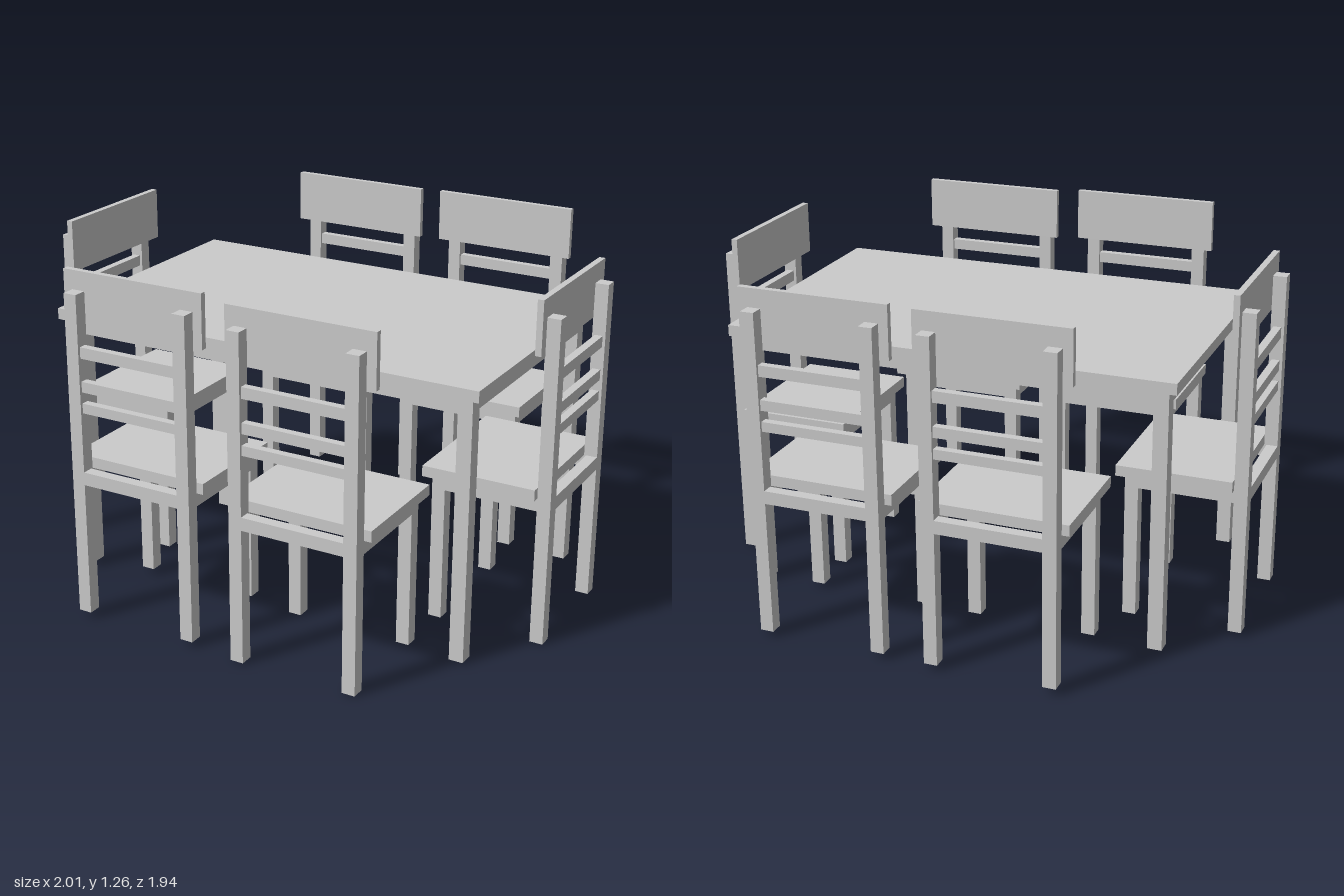
import * as THREE from 'three';

const material = new THREE.MeshStandardMaterial({ color: 0xcccccc, flatShading: true });

// Box given by its min and max on each axis
function box(parent, name, [x0, x1], [y0, y1], [z0, z1]) {
  const mesh = new THREE.Mesh(new THREE.BoxGeometry(x1 - x0, y1 - y0, z1 - z0), material);
  mesh.name = name;
  mesh.position.set((x0 + x1) / 2, (y0 + y1) / 2, (z0 + z1) / 2);
  parent.add(mesh);
}

// Range mirrored to one side
const side = (s, a, b) => (s > 0 ? [a, b] : [-b, -a]);

// Chair: outer face of the back posts at z = 0, facing +z
function createChair() {
  const chair = new THREE.Group();
  const half = 0.236, w = 0.048, depth = 0.433;
  const inner = half - w;
  for (const s of [-1, 1]) {
    box(chair, 'backPost', side(s, inner, half), [0, 1.168], [0, w]);
    box(chair, 'frontLeg', side(s, inner, half), [0, 0.537], [depth - w, depth]);
    box(chair, 'sideApron', side(s, half - 0.04, half), [0.49, 0.537], [w, depth - w]);
  }
  box(chair, 'rearApron', [-inner, inner], [0.49, 0.537], [0, 0.04]);
  box(chair, 'frontApron', [-inner, inner], [0.49, 0.537], [depth - 0.04, depth]);
  box(chair, 'seat', [-0.262, 0.262], [0.537, 0.576], [w, 0.46]);
  // Back: three slats between the posts, wide panel on their inner face
  for (const [y0, y1] of [[0.75, 0.785], [0.825, 0.863], [0.945, 0.985]]) {
    box(chair, 'backSlat', [-inner, inner], [y0, y1], [0.01, 0.038]);
  }
  box(chair, 'backPanel', [-0.27, 0.27], [1.045, 1.235], [w, 0.07]);
  return chair;
}

function createTable() {
  const table = new THREE.Group();
  table.name = 'table';
  const hx = 0.815, hz = 0.508, inset = 0.035, w = 0.052;
  const lx = hx - inset, lz = hz - inset;
  box(table, 'tableTop', [-hx, hx], [0.95, 0.99], [-hz, hz]);
  for (const s of [-1, 1]) {
    for (const t of [-1, 1]) {
      box(table, 'tableLeg', side(s, lx - w, lx), [0, 0.95], side(t, lz - w, lz));
    }
    box(table, 'longApron', [-lx + w, lx - w], [0.898, 0.95], side(s, lz - 0.04, lz));
    box(table, 'endApron', side(s, lx - 0.04, lx), [0.898, 0.95], [-lz + w, lz - w]);
  }
  return table;
}

export function createModel() {
  const model = new THREE.Group();
  model.name = 'diningSet';

  // Whole set is turned, and leans very slightly
  const set = new THREE.Group();
  set.name = 'tableAndChairs';
  set.rotation.y = THREE.MathUtils.degToRad(20);
  set.add(createTable());

  // Name, x, z, lift, turn
  const chairs = [
    ['frontLeftwardChair', 0.327, 0.83, -0.006, Math.PI],
    ['frontRightwardChair', -0.307, 0.817, 0.008, Math.PI],
    ['backLeftwardChair', 0.324, -0.846, 0.008, 0],
    ['backRightwardChair', -0.298, -0.846, 0.004, 0],
    ['rightEndChair', -0.999, -0.012, -0.005, Math.PI / 2],
    ['leftEndChair', 0.96, -0.018, -0.004, -Math.PI / 2],
  ];
  for (const [name, x, z, lift, turn] of chairs) {
    const chair = createChair();
    chair.name = name;
    chair.position.set(x, lift, z);
    chair.rotation.y = turn;
    set.add(chair);
  }

  const lean = new THREE.Group();
  lean.name = 'leaningSet';
  lean.rotation.z = -0.01;
  lean.position.set(0.012, 0.018, 0.01);
  lean.add(set);
  model.add(lean);
  return model;
}
